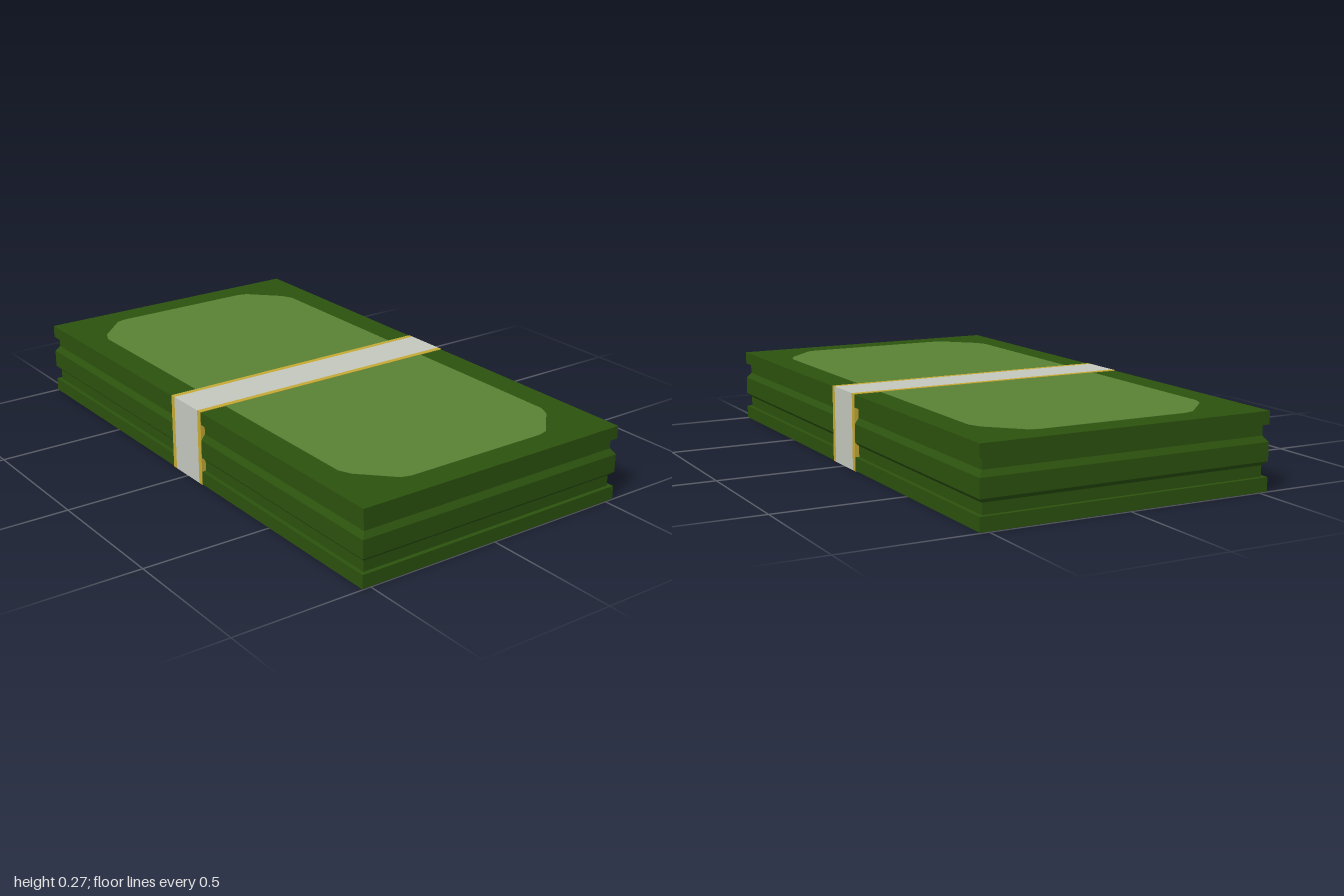
import * as THREE from 'three';

const HX = 1, HZ = 0.532, H = 0.272;

const paint = (name, color) => {
  const m = new THREE.MeshStandardMaterial({ color });
  m.name = name;
  return m;
};

// Rectangular rings lofted along a [y, inset] profile, capped at both ends, hard edged
function loftStack(profile) {
  const rings = profile.map(([y, d]) => [
    [-HX + d, y, HZ - d], [HX - d, y, HZ - d], [HX - d, y, -HZ + d], [-HX + d, y, -HZ + d],
  ]);
  const pos = [];
  const quad = (a, b, c, d) => pos.push(...a, ...b, ...c, ...a, ...c, ...d);
  for (let i = 0; i < rings.length - 1; i++) {
    for (let k = 0; k < 4; k++) {
      const n = (k + 1) % 4;
      quad(rings[i][k], rings[i][n], rings[i + 1][n], rings[i + 1][k]);
    }
  }
  const [b, t] = [rings[0], rings[rings.length - 1]];
  quad(t[0], t[1], t[2], t[3]);
  quad(b[3], b[2], b[1], b[0]);
  const geo = new THREE.BufferGeometry();
  geo.setAttribute('position', new THREE.Float32BufferAttribute(pos, 3));
  geo.computeVertexNormals();
  return geo;
}

export function createModel() {
  const model = new THREE.Group();
  model.name = 'banknoteBundle';

  const darkGreen = paint('darkGreen', 0x2c520e);
  const lightGreen = paint('lightGreen', 0x5a8235);
  const paperGrey = paint('paperGrey', 0xc3c8be);
  const gold = paint('gold', 0xc5aa35);

  const add = (name, geo, mat, x = 0, y = 0, z = 0) => {
    const mesh = new THREE.Mesh(geo, mat);
    mesh.name = name;
    mesh.position.set(x, y, z);
    model.add(mesh);
    return mesh;
  };

  // Stack of notes with two grooves running round the sides
  const g = 0.015;
  add('noteStack', loftStack([
    [0.002, 0], [0.05, 0], [0.05, g], [0.088, g], [0.103, 0],
    [0.167, 0], [0.187, g], [0.225, g], [0.225, 0], [H - 0.002, 0],
  ]), darkGreen);

  // Pale panel with cut corners, on the top and bottom notes
  const corner = [[0.903, 0.27], [0.893, 0.305], [0.785, 0.412], [0.74, 0.432]];
  const mirrored = (sx, sz) => corner.map(([x, z]) => new THREE.Vector2(x * sx, z * sz));
  const outline = new THREE.Shape([
    ...mirrored(1, 1), ...mirrored(-1, 1).reverse(),
    ...mirrored(-1, -1), ...mirrored(1, -1).reverse(),
  ]);
  const panel = new THREE.ExtrudeGeometry(outline, { depth: 0.002, bevelEnabled: false });
  panel.rotateX(-Math.PI / 2);
  add('topPanel', panel, lightGreen, 0, H - 0.003, 0);
  add('bottomPanel', panel, lightGreen, 0, 0.001, 0);

  // Paper band with a gold strip along each edge
  const depth = 2 * HZ + 0.002;
  add('paperBand', new THREE.BoxGeometry(0.15, H, depth), paperGrey, 0, H / 2, 0);
  for (const [name, s] of [['leftBandEdge', 1], ['rightBandEdge', -1]]) {
    add(name, new THREE.BoxGeometry(0.02, H, depth), gold, s * 0.085, H / 2, 0);
  }

  return model;
}
